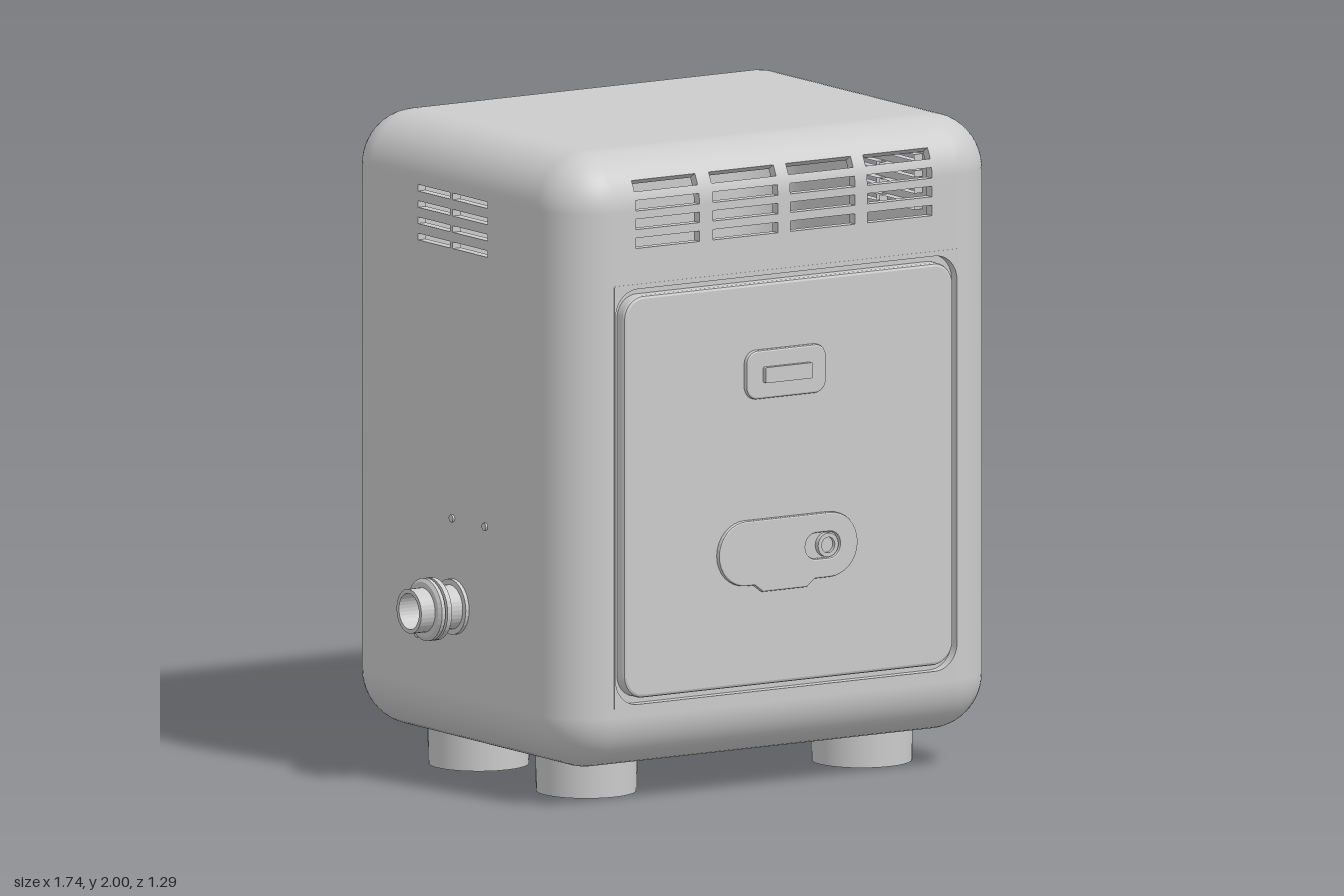
import * as THREE from 'three';

const mat = new THREE.MeshStandardMaterial({ color: 0xcccccc, side: THREE.DoubleSide });
const R = 0.17;                       // edge rounding of the case
const LO = [-0.71, 0.11, -0.645];     // case corners
const HI = [0.87, 2.0, 0.605];

function add(parent, name, geometry, x = 0, y = 0, z = 0) {
  const m = new THREE.Mesh(geometry, mat);
  m.name = name;
  m.position.set(x, y, z);
  parent.add(m);
  return m;
}

// Rounded rectangle outline from its limits
function roundRect(x0, x1, y0, y1, r, Type = THREE.Shape) {
  const s = new Type();
  s.absarc(x1 - r, y0 + r, r, -Math.PI / 2, 0);
  s.absarc(x1 - r, y1 - r, r, 0, Math.PI / 2);
  s.absarc(x0 + r, y1 - r, r, Math.PI / 2, Math.PI);
  s.absarc(x0 + r, y0 + r, r, Math.PI, Math.PI * 1.5);
  s.closePath();
  return s;
}

// Plate with an optional small bevel, reaching from z0 to z1
function plate(shape, z0, z1, bevel = 0) {
  const g = new THREE.ExtrudeGeometry(shape, {
    depth: z1 - z0 - bevel, curveSegments: 8, bevelEnabled: bevel > 0,
    bevelSize: bevel, bevelOffset: -bevel, bevelThickness: bevel, bevelSegments: 2,
  });
  return g.translate(0, 0, z0);
}

// Point and normal on the rounded case for a point on its bounding box
function onCase(p) {
  const c = new THREE.Vector3(...p.map((v, i) => THREE.MathUtils.clamp(v, LO[i] + R, HI[i] - R)));
  const n = new THREE.Vector3(...p).sub(c).normalize();
  return { p: c.addScaledVector(n, R), n };
}

// Box coordinate that lands on a wanted coordinate of the rounded case
function toBox(v, axis) {
  const d = v - (HI[axis] - R);
  return d > 0 ? HI[axis] - R + R * Math.tan(Math.asin(d / R)) : v;
}

// Grid lines along an axis: rounding steps plus the edges of the cutouts
function gridLines(axis, extra) {
  const lines = [...extra];
  for (let i = 0; i <= 6; i++) {
    const d = R * Math.tan((i / 6) * Math.PI / 4);
    lines.push(LO[axis] + R - d, HI[axis] - R + d);
  }
  lines.sort((a, b) => a - b);
  return lines.filter((v, i) => i === 0 || v - lines[i - 1] > 1e-5);
}

// One side of the hollow case; cutouts are [b0, b1, c0, c1] on the two other axes
function caseSide(a, sign, cutouts) {
  const b = (a + 1) % 3, c = (a + 2) % 3;
  const cuts = cutouts.map(([b0, b1, c0, c1]) => [toBox(b0, b), toBox(b1, b), toBox(c0, c), toBox(c1, c)]);
  const bs = gridLines(b, cuts.flatMap((k) => [k[0], k[1]]));
  const cs = gridLines(c, cuts.flatMap((k) => [k[2], k[3]]));
  const pos = [], nor = [];
  const at = (i, j) => {
    const p = [];
    p[a] = sign > 0 ? HI[a] : LO[a];
    p[b] = bs[i];
    p[c] = cs[j];
    return onCase(p);
  };
  const isCut = (i, j) => {
    const u = (bs[i] + bs[i + 1]) / 2, v = (cs[j] + cs[j + 1]) / 2;
    return cuts.some((k) => u > k[0] && u < k[1] && v > k[2] && v < k[3]);
  };
  const quad = (q) => {
    for (const k of [0, 1, 2, 0, 2, 3]) {
      pos.push(...q[k].p);
      nor.push(...q[k].n);
    }
  };
  // Short wall running inward from a cutout edge
  const wall = (s, t) => {
    const s2 = s.p.clone().addScaledVector(s.n, -0.03), t2 = t.p.clone().addScaledVector(t.n, -0.03);
    const n = t.p.clone().sub(s.p).cross(t2.clone().sub(s.p)).normalize();
    quad([s.p, t.p, t2, s2].map((p) => ({ p, n })));
  };
  for (let i = 0; i < bs.length - 1; i++) {
    for (let j = 0; j < cs.length - 1; j++) {
      const q = [at(i, j), at(i + 1, j), at(i + 1, j + 1), at(i, j + 1)];
      if (!isCut(i, j)) {
        quad(sign > 0 ? q : q.reverse());
        continue;
      }
      if (!isCut(i, j - 1)) wall(q[1], q[0]);
      if (!isCut(i + 1, j)) wall(q[2], q[1]);
      if (!isCut(i, j + 1)) wall(q[3], q[2]);
      if (!isCut(i - 1, j)) wall(q[0], q[3]);
    }
  }
  const g = new THREE.BufferGeometry();
  g.setAttribute('position', new THREE.Float32BufferAttribute(pos, 3));
  g.setAttribute('normal', new THREE.Float32BufferAttribute(nor, 3));
  return g;
}

export function createModel() {
  const model = new THREE.Group();
  model.name = 'countertopAppliance';

  // Vent slots and the door opening
  const frontCuts = [[-0.54, 0.70, 0.31, 1.60]];
  for (const y of [1.715, 1.773, 1.83, 1.888]) {
    for (const [x0, x1] of [[-0.465, -0.235], [-0.185, 0.05], [0.095, 0.33], [0.375, 0.61]]) {
      frontCuts.push([x0, x1, y, y + 0.032]);
    }
  }
  const sideCuts = [];
  for (const y of [1.648, 1.698, 1.748, 1.798]) {
    for (const [z0, z1] of [[-0.22, -0.045], [-0.03, 0.16]]) sideCuts.push([y, y + 0.02, z0, z1]);
  }

  // Hollow rounded case
  const body = new THREE.Group();
  body.name = 'case';
  model.add(body);
  add(body, 'frontWall', caseSide(2, 1, frontCuts));
  add(body, 'backWall', caseSide(2, -1, []));
  add(body, 'leftWall', caseSide(0, 1, sideCuts));
  add(body, 'rightWall', caseSide(0, -1, sideCuts));
  add(body, 'topWall', caseSide(1, 1, []));
  add(body, 'bottomWall', caseSide(1, -1, []));

  // Door set in a recess with a narrow gap around it
  const door = new THREE.Group();
  door.name = 'door';
  model.add(door);
  const collar = roundRect(-0.545, 0.705, 0.305, 1.605, 0.005);
  collar.holes.push(roundRect(-0.54, 0.70, 0.315, 1.59, 0.08, THREE.Path));
  add(door, 'doorFrame', plate(collar, 0.575, 0.606));
  add(door, 'recessFloor', plate(roundRect(-0.545, 0.705, 0.305, 1.605, 0.005), 0.565, 0.575));
  add(door, 'doorPanel', plate(roundRect(-0.515, 0.68, 0.335, 1.57, 0.07), 0.575, 0.616, 0.01));

  // Display on the door
  add(door, 'displayBezel', plate(roundRect(-0.08, 0.21, 1.215, 1.365, 0.04), 0.61, 0.63, 0.006));
  add(door, 'displayBar', plate(roundRect(-0.02, 0.15, 1.265, 1.313, 0.004), 0.625, 0.645));

  // Handle plate with a lower lip, a small opening and a knob
  const grip = new THREE.Shape();
  grip.absarc(0.225, 0.745, 0.1, -Math.PI / 2, Math.PI / 2);
  grip.absarc(-0.08, 0.745, 0.1, Math.PI / 2, Math.PI * 1.5);
  grip.lineTo(-0.05, 0.645);
  grip.lineTo(-0.02, 0.622);
  grip.lineTo(0.14, 0.622);
  grip.lineTo(0.17, 0.645);
  grip.closePath();
  grip.holes.push(roundRect(0.135, 0.26, 0.705, 0.785, 0.039, THREE.Path));
  add(door, 'handlePlate', plate(grip, 0.61, 0.63, 0.005));
  const knob = new THREE.LatheGeometry(
    [[0.037, 0], [0.037, 0.02], [0.024, 0.02], [0.024, 0.008], [0, 0.008]].map((p) => new THREE.Vector2(...p)), 20);
  add(door, 'handleKnob', knob.toNonIndexed().rotateX(Math.PI / 2), 0.215, 0.745, 0.612).geometry.computeVertexNormals();

  // Four round feet
  for (const x of [-0.42, 0.58]) {
    for (const z of [0.265, -0.325]) {
      add(model, 'foot', new THREE.CylinderGeometry(0.155, 0.153, 0.13, 32), x, 0.065, z);
    }
  }

  // Hose connector on the right wall: stem, double flange and open end
  const profile = [[0.085, 0], [0.085, 0.015], [0.068, 0.015], [0.068, 0.065], [0.085, 0.065], [0.096, 0.072],
    [0.096, 0.088], [0.08, 0.09], [0.08, 0.094], [0.096, 0.096], [0.096, 0.108], [0.085, 0.115],
    [0.068, 0.115], [0.068, 0.165], [0.055, 0.165], [0.055, 0.06], [0, 0.06]];
  const hose = new THREE.LatheGeometry(profile.map((p) => new THREE.Vector2(...p)), 32).toNonIndexed();
  hose.computeVertexNormals();
  add(model, 'hoseConnector', hose.rotateZ(Math.PI / 2), -0.707, 0.55, -0.025);

  // Small screws around the connector
  for (const [y, z] of [[0.82, -0.03], [0.82, 0.15], [0.44, -0.22]]) {
    add(model, 'screw', new THREE.CylinderGeometry(0.012, 0.012, 0.012, 10).rotateZ(Math.PI / 2), -0.711, y, z);
  }
  return model;
}
